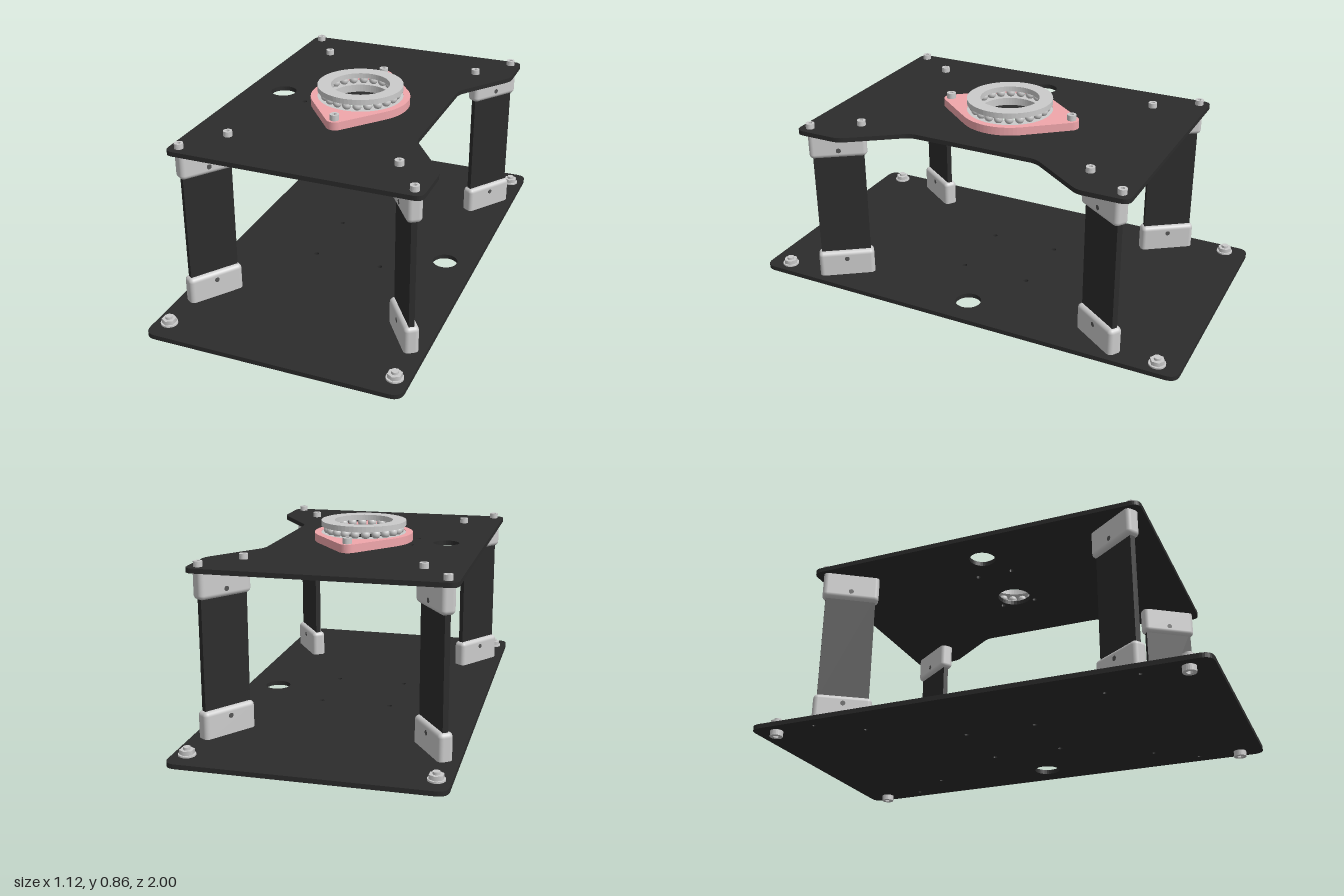
import * as THREE from 'three';
import { RoundedBoxGeometry } from 'three/addons/geometries/RoundedBoxGeometry.js';

const mat = (color) => new THREE.MeshStandardMaterial({ color });
const grey = mat(0xcccccc), dark = mat(0x2c2c2c), pink = mat(0xf0a6ab), shade = mat(0x555555);

function add(parent, name, geometry, material, x = 0, y = 0, z = 0) {
  const mesh = new THREE.Mesh(geometry, material);
  mesh.name = name;
  mesh.position.set(x, y, z);
  parent.add(mesh);
  return mesh;
}

// circular or polygonal outline, used for solids and holes
function ring(x, y, r, sides = 32) {
  const pts = [];
  for (let i = 0; i < sides; i++) {
    const a = (i / sides) * Math.PI * 2;
    pts.push(new THREE.Vector2(x + r * Math.cos(a), y + r * Math.sin(a)));
  }
  return new THREE.Shape(pts);
}

// polygon with corners rounded by a per-corner radius: [x, y, r]
function roundedPolygon(corners) {
  const shape = new THREE.Shape();
  const n = corners.length;
  corners.forEach(([x, y, r], i) => {
    const p = new THREE.Vector2(x, y);
    const toward = (c) => new THREE.Vector2(c[0], c[1]).sub(p).setLength(r).add(p);
    const a = toward(corners[(i + n - 1) % n]), b = toward(corners[(i + 1) % n]);
    if (i === 0) shape.moveTo(a.x, a.y);
    else shape.lineTo(a.x, a.y);
    shape.quadraticCurveTo(x, y, b.x, b.y);
  });
  shape.closePath();
  return shape;
}

// horizontal slab extruded upwards from y = 0, shape y becomes -z
function slab(shape, height, holes = []) {
  shape.holes.push(...holes);
  const g = new THREE.ExtrudeGeometry(shape, { depth: height, bevelEnabled: false, curveSegments: 8 });
  return g.rotateX(-Math.PI / 2);
}

// socket-head screw: drilled head with a closed hexagonal recess
function socketScrew(parent, name, x, y, z, r, h) {
  const screw = new THREE.Group();
  screw.name = name;
  screw.position.set(x, y, z);
  add(screw, 'screwHead', slab(ring(0, 0, r, 24), h, [ring(0, 0, r * 0.5, 6)]), grey);
  add(screw, 'socketFloor', new THREE.CylinderGeometry(r * 0.6, r * 0.6, h * 0.4, 12), grey, 0, h * 0.2, 0);
  parent.add(screw);
  return screw;
}

// rounded cap with one flat end, sitting on y = 0
function capGeometry(length, height, thickness, r) {
  const g = new RoundedBoxGeometry(length, height + r, thickness, 4, r);
  const p = g.attributes.position;
  const base = -(height + r) / 2 + r;
  for (let i = 0; i < p.count; i++) p.setY(i, Math.max(p.getY(i), base));
  return g.translate(0, -base, 0);
}

export function createModel() {
  const model = new THREE.Group();
  model.name = 'bearingStand';
  const corners = [[1, 1], [-1, 1], [-1, -1], [1, -1]];
  const screwSpots = corners.flatMap(([sx, sz]) => [[sx * 0.5, sz * 0.715], [sx * 0.375, sz * 0.535]]);

  // base plate with cable hole and mounting holes
  const baseShape = roundedPolygon(corners.map(([sx, sy]) => [sx * 0.56, sy, 0.05]));
  add(model, 'basePlate', slab(baseShape, 0.02, [
    ring(0.42, 0, 0.057),
    ...corners.map(([sx, sy]) => ring(sx * 0.158, sy * 0.158, 0.011, 12)),
    ...screwSpots.map(([x, z]) => ring(x, z, 0.009, 12)),
  ]), dark, 0, 0.025, 0);

  // top plate with a trapezoid notch on one long side
  const topShape = roundedPolygon([
    [-0.545, -0.76, 0.04], [0.545, -0.76, 0.04], [0.545, -0.545, 0.03], [0.365, -0.295, 0.03],
    [0.365, 0.295, 0.03], [0.545, 0.545, 0.03], [0.545, 0.76, 0.04], [-0.545, 0.76, 0.04],
  ]);
  add(model, 'topPlate', slab(topShape, 0.02, [
    ring(-0.375, 0, 0.057), ring(0, 0, 0.075),
    ...[[-0.235, 0.08], [-0.235, -0.08], [0.06, 0.08], [0.06, -0.08]].map(([x, y]) => ring(x, y, 0.011, 12)),
  ]), dark, 0, 0.75, 0);

  // four flat legs set diagonally, each held by a cap at both ends
  const cap = capGeometry(0.25, 0.117, 0.064, 0.02);
  const hole = new THREE.CylinderGeometry(0.011, 0.011, 0.065, 16).rotateX(Math.PI / 2);
  for (const [sx, sz] of corners) {
    const leg = new THREE.Group();
    leg.name = 'leg';
    leg.position.set(sx * 0.4375, 0, sz * 0.622);
    leg.rotation.y = -Math.atan2(sz * 0.18, sx * 0.125);
    add(leg, 'legStrip', new THREE.BoxGeometry(0.222, 0.52, 0.024), dark, 0, 0.397, 0);
    add(leg, 'lowerCap', cap, grey, 0, 0.045, 0);
    add(leg, 'upperCap', cap, grey, 0, 0.75, 0).rotation.x = Math.PI;
    for (const y of [0.125, 0.668]) add(leg, 'capPinHole', hole, shade, 0, y, 0);
    model.add(leg);
  }

  // screws through the top plate into the caps
  for (const [x, z] of screwSpots) socketScrew(model, 'topScrew', x, 0.77, z, 0.019, 0.023);

  // corner bolts: head below the base plate, washer and nut above
  for (const [sx, sz] of corners) {
    const bolt = new THREE.Group();
    bolt.name = 'cornerBolt';
    bolt.position.set(sx * 0.5, 0, sz * 0.9);
    socketScrew(bolt, 'boltHead', 0, 0.025, 0, 0.028, 0.025).rotation.x = Math.PI;
    add(bolt, 'washer', new THREE.CylinderGeometry(0.036, 0.036, 0.007, 24), grey, 0, 0.0485, 0);
    add(bolt, 'nut', new THREE.CylinderGeometry(0.031, 0.031, 0.018, 6), grey, 0, 0.061, 0);
    add(bolt, 'boltTip', new THREE.CylinderGeometry(0.015, 0.015, 0.056, 20), grey, 0, 0.053, 0);
    model.add(bolt);
  }

  // diamond flange: central disc joined by tangents to small end arcs
  const R = 0.22, r = 0.04, d = 0.287;
  const t = Math.asin((R - r) / d);
  const flange = new THREE.Shape();
  flange.absarc(0, 0, R, -t, t, false);
  flange.absarc(0, d, r, t, Math.PI - t, false);
  flange.absarc(0, 0, R, Math.PI - t, Math.PI + t, false);
  flange.absarc(0, -d, r, Math.PI + t, 2 * Math.PI - t, false);
  flange.closePath();
  const flangeMesh = slab(flange, 0.036, [ring(0, 0, 0.19, 64)]);
  add(model, 'bearingFlange', flangeMesh, pink, 0, 0.77, 0);
  for (const s of [1, -1]) socketScrew(model, 'flangeScrew', 0, 0.806, s * 0.295, 0.02, 0.025);

  // thrust bearing: two races with a circle of balls between
  const race = (h) => new THREE.LatheGeometry(
    [[0.13, 0], [0.19, 0], [0.19, 0], [0.19, h], [0.19, h], [0.13, h], [0.13, h], [0.13, 0]]
      .map(([x, y]) => new THREE.Vector2(x, y)), 64);
  const flatRace = (h) => {
    const g = race(h).toNonIndexed();
    g.computeVertexNormals();
    return g;
  };
  add(model, 'lowerRace', flatRace(0.034), grey, 0, 0.77, 0);
  add(model, 'upperRace', flatRace(0.024), grey, 0, 0.835, 0);
  const ball = new THREE.SphereGeometry(0.02, 20, 14);
  for (let i = 0; i < 22; i++) {
    const a = (i / 22) * Math.PI * 2;
    add(model, 'bearingBall', ball, grey, 0.161 * Math.sin(a), 0.82, 0.161 * Math.cos(a));
  }
  return model;
}
